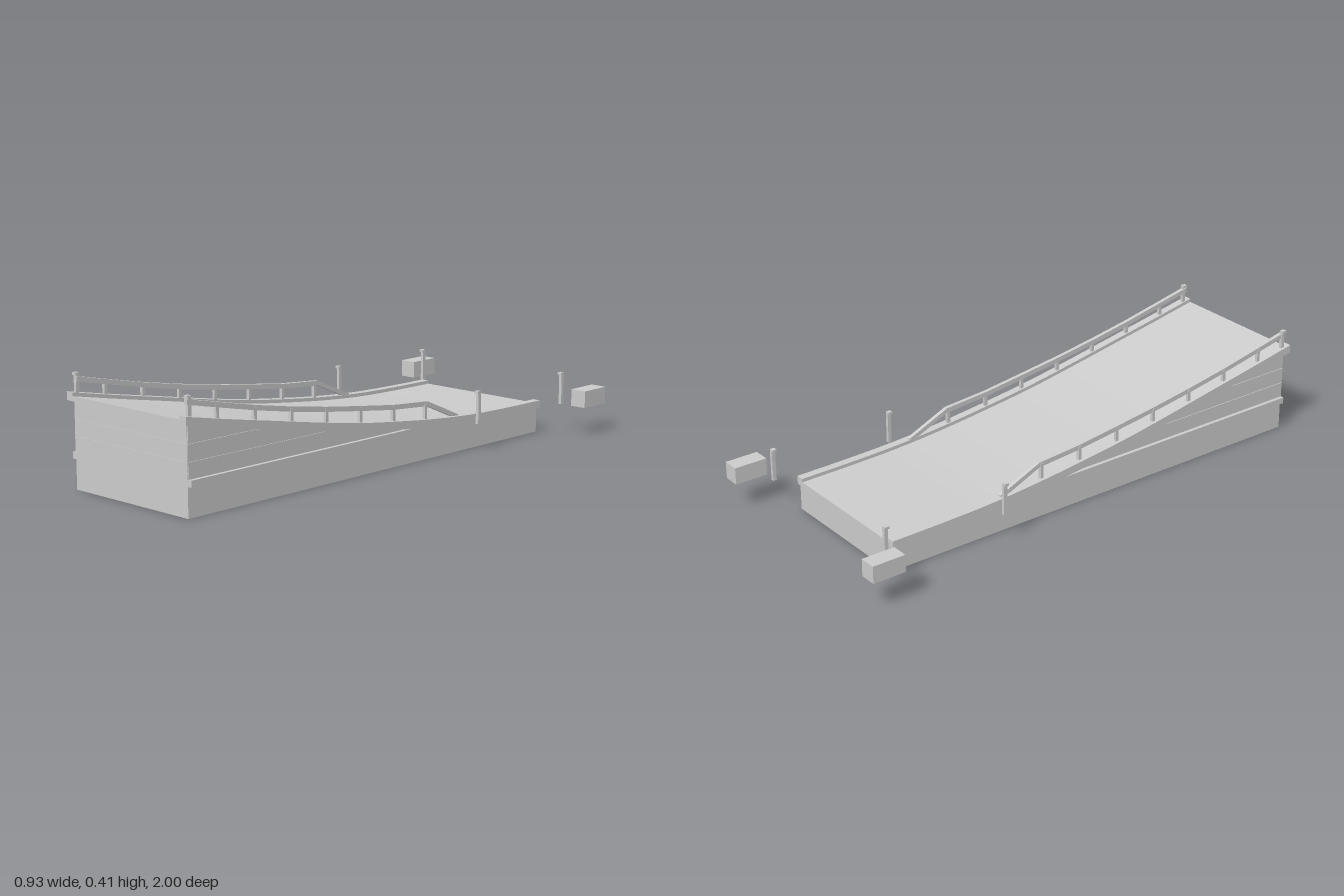
import * as THREE from 'three';

const V = (z, y) => new THREE.Vector2(z, y);

// Curved profile of the curb top, from the low rear end to the high front end (z, y)
const curbLine = new THREE.SplineCurve([
  V(-0.81, 0.124), V(-0.6, 0.126), V(-0.4, 0.132), V(-0.2, 0.147), V(0, 0.169),
  V(0.2, 0.195), V(0.4, 0.229), V(0.6, 0.266), V(0.8, 0.303), V(1, 0.342),
]).getPoints(40);

// Height of the curb top at any z
function curbY(z) {
  for (let i = 1; i < curbLine.length; i++) {
    const a = curbLine[i - 1], b = curbLine[i];
    if (z <= b.x) return a.y + (b.y - a.y) * (z - a.x) / (b.x - a.x);
  }
  return curbLine[curbLine.length - 1].y;
}

// Extrude a (z, y) outline across x0..x1
function slab(points, x0, x1) {
  const g = new THREE.ExtrudeGeometry(new THREE.Shape(points), { depth: x1 - x0, bevelEnabled: false });
  return g.rotateY(-Math.PI / 2).translate(x1, 0, 0);
}

// Outline of a strip between two vertical offsets of a line
function strip(line, low, high) {
  return [
    ...line.map((p) => V(p.x, p.y + low)),
    ...[...line].reverse().map((p) => V(p.x, p.y + high)),
  ];
}

export function createModel() {
  const model = new THREE.Group();
  model.name = 'ramp';
  const grey = new THREE.MeshStandardMaterial({ color: 0xcccccc });
  grey.name = 'plain grey';

  function add(name, geometry) {
    const mesh = new THREE.Mesh(geometry, grey);
    mesh.name = name;
    model.add(mesh);
  }
  function box(name, x0, x1, y0, y1, z0, z1) {
    add(name, new THREE.BoxGeometry(x1 - x0, y1 - y0, z1 - z0)
      .translate((x0 + x1) / 2, (y0 + y1) / 2, (z0 + z1) / 2));
  }
  // Square post with a small cap hooked to one side
  function hookedPost(name, x, z, y0, y1) {
    box(name, x - 0.006, x + 0.006, y0, y1 - 0.004, z - 0.007, z + 0.007);
    box(name + 'Cap', x - 0.011, x + 0.005, y1 - 0.009, y1, z - 0.007, z + 0.01);
  }

  // Solid base under the deck
  const under = curbLine.filter((p) => p.x < 0.98).map((p) => V(p.x, p.y - 0.03));
  under.push(V(0.98, curbY(0.98) - 0.03));
  add('base', slab([V(-0.81, 0), V(0.98, 0), ...under.reverse()], -0.28, 0.28));

  // Deck surface
  add('deck', slab(strip(curbLine, -0.031, -0.013), -0.285, 0.285));

  // Siding courses: thin planks whose upper edge is cut by the deck
  const courses = [0.13, 0.19, 0.25];
  courses.forEach((y0) => {
    const y1 = y0 + 0.057;
    const bottom = [], top = [];
    for (let z = 0.98; z > -0.81; z -= 0.03) {
      const y = Math.min(y1, curbY(z) - 0.03);
      if (y <= y0 + 0.002) break;
      bottom.push(V(z, y0));
      top.push(V(z, y));
    }
    const outline = [...bottom, ...top.reverse()];
    add('sidingLeft', slab(outline, 0.28, 0.283));
    add('sidingRight', slab(outline, -0.283, -0.28));
    box('sidingFront', -0.28, 0.28, y0, y1, 0.98, 0.982);
  });

  // Handrail line: follows the ramp, then drops to the curb
  const railLine = [
    V(-0.35, 0.139), V(-0.18, 0.213), V(0, 0.227), V(0.17, 0.249), V(0.34, 0.272),
    V(0.51, 0.299), V(0.68, 0.33), V(0.85, 0.366), V(0.98, 0.394),
  ];
  const postZ = [-0.17, 0, 0.17, 0.34, 0.51, 0.68, 0.85];

  for (const s of [1, -1]) {
    const side = s > 0 ? 'left' : 'right';
    const span = (a, b) => (s > 0 ? [a, b] : [-b, -a]);

    // Curb and ledge along the side
    add(side + 'Curb', slab(strip(curbLine, -0.03, 0), ...span(0.266, 0.297)));
    box(side + 'Ledge', ...span(0.28, 0.297), 0.106, 0.13, -0.4, 0.98);

    // Handrail with its posts
    add(side + 'Rail', slab(strip(railLine, -0.018, 0), ...span(0.267, 0.282)));
    postZ.forEach((z, i) => {
      box(side + 'RailPost', ...span(0.272, 0.284), curbY(z) - 0.005,
        railLine[i + 1].y - 0.006, z - 0.006, z + 0.006);
    });
    hookedPost(side + 'FrontPost', s * 0.279 - 0.002, 0.97, 0.325, 0.405);

    // Free-standing posts and blocks beside the low end
    hookedPost(side + 'MarkerPost', s * 0.35 - 0.002, -0.385, 0.108, 0.23);
    hookedPost(side + 'EndPost', s * 0.35 - 0.002, -0.875, 0.108, 0.23);
    const cx = s * 0.431 - 0.001;
    box(side + 'Block', cx - 0.032, cx + 0.032, 0.108, 0.172, -1, -0.873);
  }
  return model;
}
